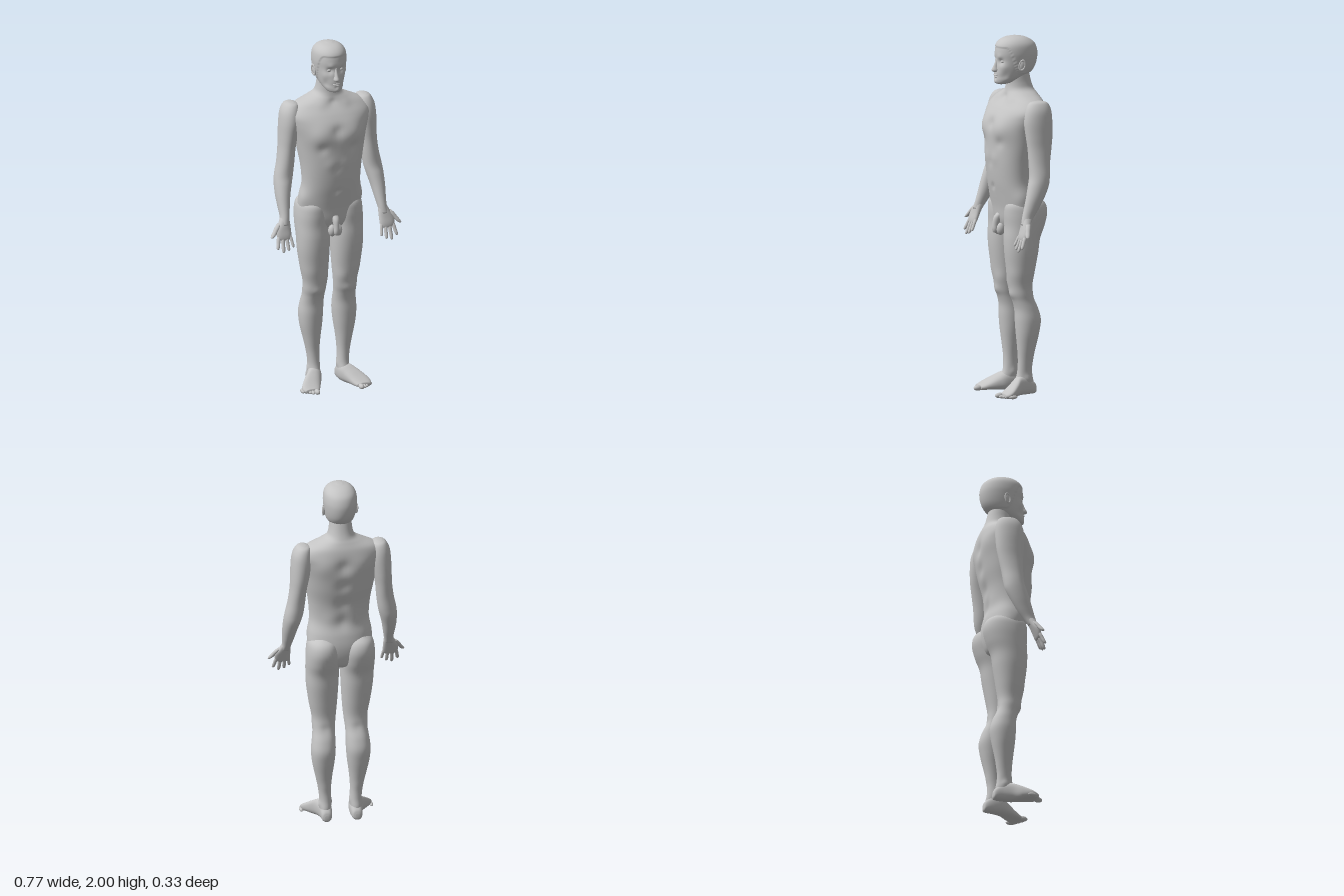
import * as THREE from 'three';

const skin = new THREE.MeshStandardMaterial({ color: 0xc4c4c4 });
skin.name = 'clay grey';

// Faces point outward: reverse every triangle when the enclosed volume is negative
function faceOutward(g) {
  const p = g.attributes.position, id = g.index.array;
  const a = new THREE.Vector3(), b = new THREE.Vector3(), c = new THREE.Vector3();
  let volume = 0;
  for (let i = 0; i < id.length; i += 3) {
    a.fromBufferAttribute(p, id[i]);
    b.fromBufferAttribute(p, id[i + 1]);
    c.fromBufferAttribute(p, id[i + 2]);
    volume += a.dot(b.cross(c));
  }
  if (volume < 0) for (let i = 0; i < id.length; i += 3) [id[i], id[i + 1]] = [id[i + 1], id[i]];
  g.computeVertexNormals();
  return g;
}

// Smooth skin through rings [t, u0, u1, v0, v1]; axis 'y' has u=x v=z, axis 'z' has u=x v=y.
// Each bump [x, y, z, radius, amount] pushes the skin out (or in) on both sides of the body.
function loft(keys, { axis = 'y', seg = 28, steps = 4, bumps = [], e = 2, rule } = {}) {
  const spline = new THREE.CubicInterpolant(keys.map((_, i) => i), keys.flat(), 5, new Float32Array(5));
  const pos = [], index = [], rows = (keys.length - 1) * steps;
  const put = (u, t, v) => (axis === 'y' ? pos.push(u, t, v) : pos.push(u, v, t));
  const power = (n) => Math.sign(n) * Math.abs(n) ** (2 / e);
  for (let r = 0; r <= rows; r++) {
    const [t, u0, u1, v0, v1] = spline.evaluate(r / steps);
    const uc = (u0 + u1) / 2, vc = (v0 + v1) / 2;
    for (let s = 0; s < seg; s++) {
      const q = (s / seg) * Math.PI * 2;
      const du = power(Math.cos(q)) * (u1 - u0) / 2, dv = power(Math.sin(q)) * (v1 - v0) / 2;
      const u = uc + du, v = vc + dv;
      const [x, y, z] = axis === 'y' ? [u, t, v] : [u, v, t];
      let push = rule ? rule(x, y, z) : 0;
      for (const [bx, by, bz, br, amount] of bumps) {
        const d2 = (Math.abs(x) - bx) ** 2 + (y - by) ** 2 + (z - bz) ** 2;
        push += amount * Math.exp(-d2 / (br * br));
      }
      const len = Math.hypot(du, dv) || 1;
      put(u + du / len * push, t, v + dv / len * push);
      if (r < rows) {
        const a = r * seg + s, b = r * seg + (s + 1) % seg;
        index.push(a, a + seg, b, b, a + seg, b + seg);
      }
    }
  }
  const end = (rows + 1) * seg;
  for (const k of [keys[0], keys[keys.length - 1]]) put((k[1] + k[2]) / 2, k[0], (k[3] + k[4]) / 2);
  for (let s = 0; s < seg; s++) {
    const n = (s + 1) % seg;
    index.push(end, s, n, end + 1, rows * seg + n, rows * seg + s);
  }
  const g = new THREE.BufferGeometry();
  g.setAttribute('position', new THREE.Float32BufferAttribute(pos, 3));
  g.setIndex(index);
  return faceOutward(g);
}

// Rings [y, halfWidth, zBack, zFront] centred on x = 0
const centred = (rows) => rows.map(([y, w, b, f]) => [y, -w, w, b, f]);

// Tapered rounded digit from a down to b
function digit(a, b, r) {
  const profile = [[0, 0.8], [0.25, 1], [0.5, 0.92], [0.75, 0.92], [0.93, 0.7], [1, 0.25]];
  return loft(profile.map(([k, w]) => {
    const [x, y, z] = a.map((n, i) => n + (b[i] - n) * k);
    return [y, x - r * w, x + r * w, z - r * w, z + r * w];
  }), { seg: 12, steps: 3 });
}

function ball(x, y, z, rx, ry, rz) {
  return new THREE.SphereGeometry(1, 20, 14).scale(rx, ry, rz).translate(x, y, z);
}

export function createModel() {
  const model = new THREE.Group();
  model.name = 'standingFigure';
  const add = (name, g) => {
    const m = new THREE.Mesh(g, skin);
    m.name = name;
    model.add(m);
  };
  const addPair = (name, g) => {
    add(name + 'Left', g);
    add(name + 'Right', faceOutward(g.clone().scale(-1, 1, 1)));
  };

  // Trunk and neck, with chest, shoulder blades, spine groove and navel
  add('torso', loft(centred([
    [0.9, 0.03, -0.04, 0.03], [0.93, 0.1, -0.1, 0.06], [0.98, 0.165, -0.125, 0.08],
    [1.05, 0.18, -0.135, 0.09], [1.12, 0.177, -0.128, 0.104], [1.2, 0.166, -0.11, 0.12],
    [1.3, 0.173, -0.122, 0.131], [1.4, 0.19, -0.147, 0.133], [1.48, 0.205, -0.16, 0.133],
    [1.55, 0.225, -0.163, 0.117], [1.6, 0.235, -0.16, 0.09], [1.645, 0.2, -0.152, 0.055],
    [1.68, 0.125, -0.138, 0.037], [1.705, 0.08, -0.126, 0.028], [1.74, 0.066, -0.114, 0.025],
    [1.8, 0.06, -0.1, 0.03],
  ]), {
    seg: 72, steps: 6, e: 2.15,
    bumps: [
      [0.09, 1.5, 0.11, 0.06, 0.014], [0.09, 1.42, 0.12, 0.028, -0.008], [0, 1.52, 0.13, 0.03, -0.009],
      [0.1, 1.55, -0.14, 0.06, 0.01], [0, 1.55, -0.165, 0.04, -0.012], [0, 1.43, -0.15, 0.04, -0.01],
      [0, 1.31, -0.125, 0.04, -0.009], [0, 1.2, -0.11, 0.04, -0.007], [0.06, 1.22, -0.1, 0.05, 0.006],
      [0, 1.165, 0.115, 0.014, -0.009], [0, 1.3, 0.133, 0.022, -0.004], [0.045, 1.33, 0.125, 0.03, 0.004],
      [0.17, 1.11, 0.03, 0.04, 0.006], [0, 1.665, 0.045, 0.022, -0.008], [0.07, 1.655, 0.05, 0.03, 0.005],
    ],
  }));

  // Skull and face; the cropped hair stands slightly proud of the scalp
  const { smoothstep } = THREE.MathUtils;
  add('head', loft(centred([
    [1.735, 0.02, 0.035, 0.082], [1.743, 0.04, 0.005, 0.096], [1.76, 0.055, -0.04, 0.1],
    [1.78, 0.066, -0.09, 0.099], [1.8, 0.073, -0.115, 0.099], [1.83, 0.08, -0.135, 0.096],
    [1.87, 0.086, -0.146, 0.092], [1.91, 0.089, -0.147, 0.093], [1.95, 0.084, -0.134, 0.086],
    [1.975, 0.069, -0.108, 0.067], [1.991, 0.045, -0.074, 0.038], [2.0, 0.01, -0.03, -0.005],
  ]), {
    seg: 80, steps: 8, e: 2.1,
    bumps: [
      [0.034, 1.865, 0.085, 0.018, -0.01], [0.03, 1.888, 0.09, 0.016, 0.004], [0.052, 1.835, 0.065, 0.022, 0.004],
      [0, 1.75, 0.1, 0.016, 0.004], [0, 1.768, 0.1, 0.01, -0.004], [0.05, 1.79, 0.065, 0.02, -0.004],
    ],
    rule: (x, y, z) => {
      const line = 1.79 + 0.15 * smoothstep(z, -0.02, 0.06);
      return 0.004 * smoothstep(y, line, line + 0.008);
    },
  }));
  add('nose', loft(centred([
    [1.88, 0.007, 0.07, 0.092], [1.86, 0.009, 0.07, 0.1], [1.835, 0.012, 0.07, 0.112],
    [1.817, 0.017, 0.07, 0.121], [1.808, 0.015, 0.07, 0.115], [1.803, 0.008, 0.075, 0.1],
  ]), { seg: 20 }));
  add('upperLip', ball(0, 1.787, 0.096, 0.022, 0.005, 0.008));
  add('lowerLip', ball(0, 1.778, 0.095, 0.018, 0.0055, 0.008));
  addPair('eye', ball(0.034, 1.865, 0.07, 0.013, 0.009, 0.012));
  const placeEar = (g) => g.rotateX(-0.2).rotateY(-0.3).translate(0.087, 1.845, -0.022);
  addPair('ear', placeEar(ball(0, 0, 0, 0.008, 0.03, 0.017)));
  addPair('earRim', placeEar(new THREE.TorusGeometry(0.016, 0.004, 8, 24)
    .scale(1, 1.7, 1).rotateY(Math.PI / 2).translate(0.006, 0, 0)));

  // Arms from shoulder cap to wrist
  addPair('arm', loft([
    [1.662, 0.2, 0.23, -0.08, -0.03], [1.65, 0.175, 0.252, -0.113, -0.002], [1.61, 0.165, 0.272, -0.13, 0.02],
    [1.55, 0.165, 0.28, -0.135, 0.03], [1.47, 0.18, 0.283, -0.132, 0.024], [1.4, 0.193, 0.286, -0.122, 0.017],
    [1.32, 0.201, 0.297, -0.108, 0.015], [1.25, 0.21, 0.312, -0.1, 0.017], [1.2, 0.222, 0.318, -0.09, 0.03],
    [1.14, 0.238, 0.319, -0.062, 0.046], [1.08, 0.25, 0.315, -0.027, 0.062], [1.03, 0.26, 0.312, 0.008, 0.076],
    [0.99, 0.266, 0.32, 0.035, 0.085],
  ], { seg: 36, steps: 5, e: 2.1 }));

  // Open hands, palms forward
  addPair('palm', loft([
    [1.035, 0.264, 0.308, 0.015, 0.07], [1.0, 0.261, 0.326, 0.033, 0.081], [0.965, 0.26, 0.345, 0.05, 0.09],
    [0.935, 0.26, 0.346, 0.064, 0.098], [0.915, 0.264, 0.338, 0.074, 0.1], [0.908, 0.28, 0.325, 0.08, 0.096],
  ], { seg: 24, e: 2.3 }));
  [
    ['littleFinger', [0.269, 0.935, 0.083], [0.259, 0.87, 0.113], 0.0095],
    ['ringFinger', [0.291, 0.93, 0.084], [0.287, 0.853, 0.117], 0.0108],
    ['middleFinger', [0.313, 0.93, 0.084], [0.318, 0.845, 0.118], 0.0112],
    ['indexFinger', [0.334, 0.935, 0.082], [0.35, 0.865, 0.112], 0.011],
    ['thumb', [0.325, 0.998, 0.06], [0.377, 0.928, 0.09], 0.0145],
  ].forEach(([name, a, b, r]) => addPair(name, digit(a, b, r)));

  // Legs with buttock, kneecap and calf
  addPair('leg', loft([
    [1.11, 0.06, 0.14, -0.1, 0.04], [1.075, 0.02, 0.178, -0.148, 0.078], [1.02, 0.006, 0.19, -0.162, 0.085],
    [0.95, 0.004, 0.192, -0.145, 0.082], [0.88, 0.005, 0.19, -0.117, 0.085], [0.8, 0.008, 0.186, -0.105, 0.081],
    [0.7, 0.014, 0.172, -0.088, 0.068], [0.62, 0.021, 0.157, -0.076, 0.056], [0.57, 0.026, 0.155, -0.08, 0.048],
    [0.53, 0.03, 0.154, -0.09, 0.034], [0.48, 0.03, 0.16, -0.11, 0.022], [0.42, 0.03, 0.166, -0.124, 0.02],
    [0.35, 0.036, 0.16, -0.115, 0.015], [0.27, 0.047, 0.143, -0.098, 0.007], [0.19, 0.054, 0.126, -0.082, 0.001],
    [0.12, 0.053, 0.118, -0.082, 0.005], [0.07, 0.053, 0.12, -0.09, 0.02], [0.03, 0.06, 0.115, -0.085, 0.02],
  ], {
    seg: 40, steps: 5, e: 2.15,
    bumps: [
      [0.09, 0.565, 0.045, 0.026, 0.006], [0.055, 0.64, 0.04, 0.035, 0.005], [0.125, 0.68, 0.04, 0.04, 0.004],
      [0.09, 0.55, -0.085, 0.03, -0.005], [0.09, 0.2, -0.08, 0.03, 0.003], [0.055, 0.105, -0.04, 0.018, 0.005],
      [0.118, 0.095, -0.045, 0.018, 0.006],
    ],
  }));

  // Feet turned outward, with five toes
  addPair('foot', loft([
    [-0.106, 0.074, 0.098, 0.012, 0.04], [-0.095, 0.058, 0.113, 0.002, 0.065], [-0.05, 0.05, 0.122, 0, 0.1],
    [0, 0.053, 0.14, 0, 0.105], [0.04, 0.069, 0.172, 0, 0.082], [0.08, 0.088, 0.197, 0, 0.055],
    [0.108, 0.101, 0.2, 0, 0.038], [0.128, 0.113, 0.188, 0.003, 0.028],
  ], { axis: 'z', seg: 32, steps: 5, e: 2.4 }));
  for (let i = 0; i < 5; i++) {
    const r = i === 0 ? 0.015 : 0.0105;
    addPair('toe' + (i + 1), ball(0.13 + (i ? 0.006 : 0) + 0.0152 * i, r, 0.14 - 0.013 * i, r, r, 0.026));
  }

  // Groin
  add('groinFront', loft(centred([
    [1.015, 0.02, 0.05, 0.085], [0.99, 0.019, 0.06, 0.108], [0.95, 0.016, 0.078, 0.116],
    [0.925, 0.017, 0.082, 0.117], [0.908, 0.012, 0.087, 0.112], [0.903, 0.004, 0.095, 0.104],
  ]), { seg: 20 }));
  addPair('groinSide', ball(0.018, 0.925, 0.075, 0.022, 0.034, 0.024));

  return model;
}
